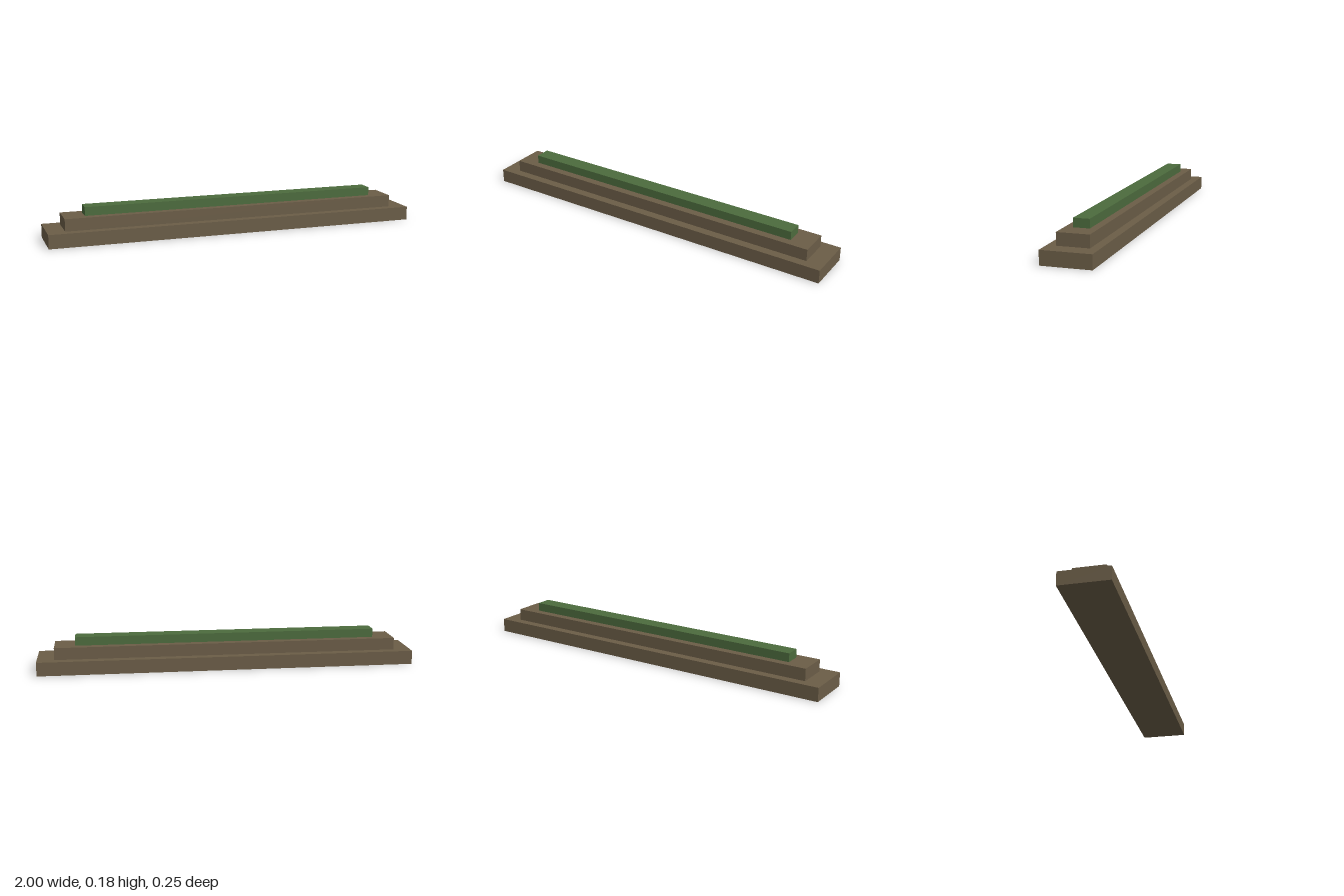
import * as THREE from 'three';

export function createModel() {
  const group = new THREE.Group();
  const earth = new THREE.MeshStandardMaterial({ color: 0x6b5d47 });
  earth.name = 'earth brown';
  const grass = new THREE.MeshStandardMaterial({ color: 0x4c6b3d });
  grass.name = 'grass green';

  // Stacked tiers, from the ground up: name, length, height, depth, material
  const tiers = [
    ['lowerBank', 2, 0.0727, 0.2545, earth],
    ['upperBank', 1.8182, 0.0637, 0.1636, earth],
    ['grassTop', 1.6, 0.0454, 0.0818, grass],
  ];

  let y = 0;
  for (const [name, length, height, depth, material] of tiers) {
    const tier = new THREE.Mesh(new THREE.BoxGeometry(length, height, depth), material);
    tier.name = name;
    tier.position.y = y + height / 2;
    group.add(tier);
    y += height;
  }
  return group;
}
